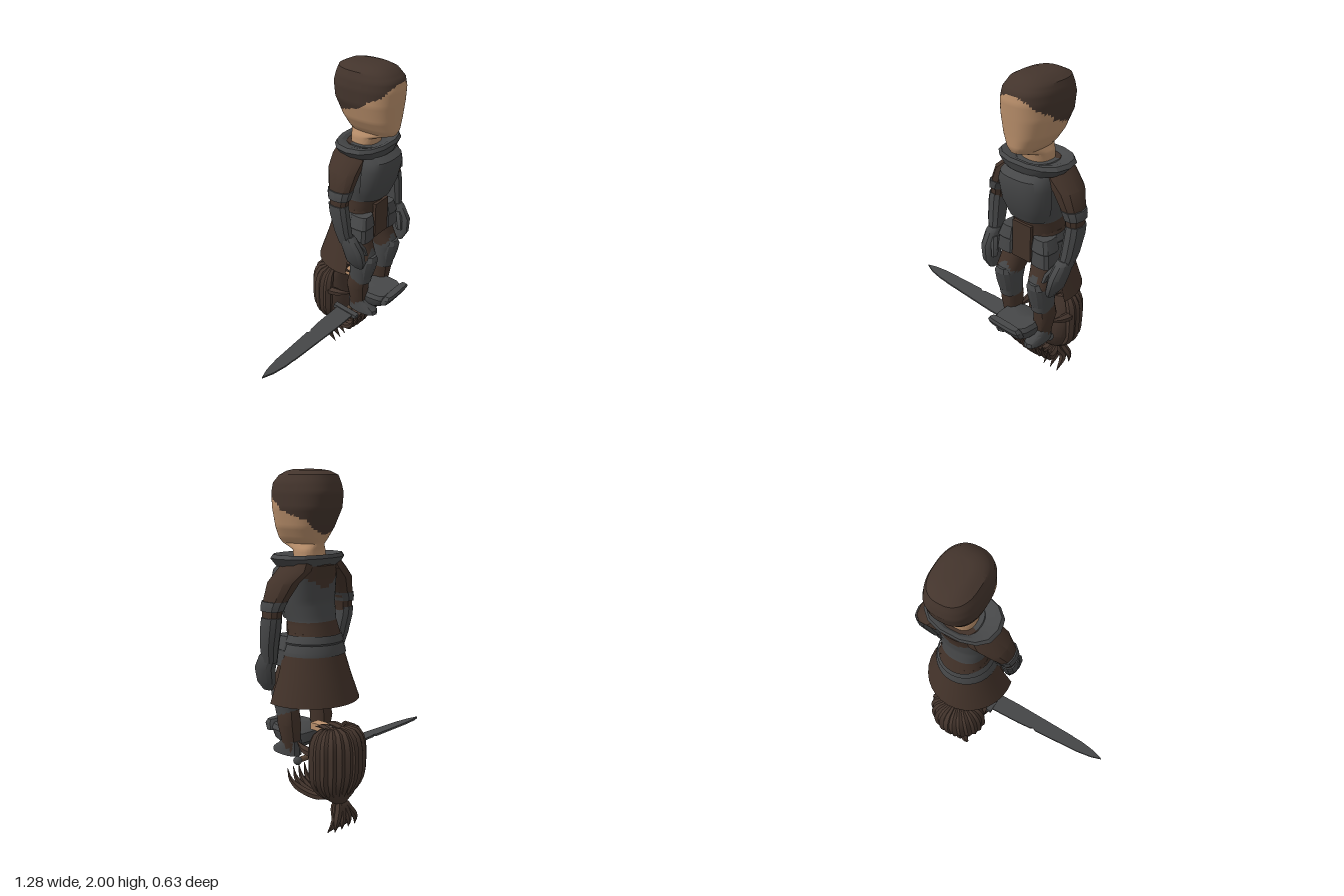
import * as THREE from 'three';
import { toCreasedNormals } from 'three/addons/utils/BufferGeometryUtils.js';

const material = (name, color, side = THREE.FrontSide) => {
  const m = new THREE.MeshStandardMaterial({ color, side });
  m.name = name;
  return m;
};
const steel = material('steel', 0x464748, THREE.DoubleSide);
const leather = material('leather', 0x423229, THREE.DoubleSide);
const hair = material('hair', 0x43342c, THREE.DoubleSide);
const skin = material('skin', 0xb88e6a);
const gripWrap = material('grip wrap', 0x5c4838);

// Surface through horizontal rings [y, centreX, halfWidth, zBack, zFront], lowest first
function loft(name, mats, rings, { n = 16, p = 0.85, t0 = 0, t1 = Math.PI * 2, caps = true, pick = null, crease = 0.6 } = {}) {
  const pos = [], list = Array.isArray(mats) ? mats : [mats], buckets = list.map(() => []);
  const pw = v => Math.sign(v) * Math.abs(v) ** p;
  for (const [y, cx, w, zb, zf] of rings) {
    for (let j = 0; j <= n; j++) {
      const t = t0 + (t1 - t0) * j / n;
      pos.push(cx + w * pw(Math.cos(t)), y, (zb + zf) / 2 + (zf - zb) / 2 * pw(Math.sin(t)));
    }
  }
  const tri = (...v) => {
    const mid = k => v.reduce((s, i) => s + pos[i * 3 + k] / 3, 0);
    buckets[pick ? pick(mid(0), mid(1), mid(2)) : 0].push(...v);
  };
  const row = n + 1, last = (rings.length - 1) * row;
  for (let i = 0; i < rings.length - 1; i++) {
    for (let j = 0; j < n; j++) {
      const a = i * row + j, c = a + row;
      tri(a, c, a + 1);
      tri(a + 1, c, c + 1);
    }
  }
  if (caps) {
    const center = r => pos.push(r[1], r[0], (r[3] + r[4]) / 2) / 3 - 1;
    const lo = center(rings[0]), hi = center(rings[rings.length - 1]);
    for (let j = 0; j < n; j++) {
      tri(lo, j, j + 1);
      tri(hi, last + j + 1, last + j);
    }
  }
  const g = new THREE.BufferGeometry();
  g.setAttribute('position', new THREE.Float32BufferAttribute(pos, 3));
  g.setIndex(buckets.flat());
  let start = 0;
  if (list.length > 1) buckets.forEach((b, i) => { g.addGroup(start, b.length, i); start += b.length; });
  const mesh = new THREE.Mesh(toCreasedNormals(g, crease), mats);
  mesh.name = name;
  return mesh;
}

// Insert evenly spaced rings so a colour border stays crisp
function refine(rings, step) {
  const out = [];
  rings.slice(0, -1).forEach((r, i) => {
    const next = rings[i + 1], k = Math.max(1, Math.ceil(Math.abs(next[0] - r[0]) / step));
    for (let s = 0; s < k; s++) out.push(r.map((v, c) => v + (next[c] - v) * s / k));
  });
  return [...out, rings[rings.length - 1]];
}

// Tapered lock of hair along a curve
function lock(name, points, radius, startTaper = 0.35) {
  const curve = new THREE.CatmullRomCurve3(points.map(p => new THREE.Vector3(...p)));
  const n = 14, g = new THREE.TubeGeometry(curve, n, radius, 6), v = new THREE.Vector3(), at = g.attributes.position;
  for (let i = 0; i <= n; i++) {
    const u = i / n, c = curve.getPointAt(u);
    const k = Math.min(1, startTaper + u * 3) * Math.min(1, 0.05 + (1 - u) * 2.5);
    for (let j = 0; j <= 6; j++) {
      v.fromBufferAttribute(at, i * 7 + j).sub(c).multiplyScalar(k).add(c);
      at.setXYZ(i * 7 + j, v.x, v.y, v.z);
    }
  }
  const mesh = new THREE.Mesh(toCreasedNormals(g, 0.8), hair);
  mesh.name = name;
  return mesh;
}

function box(name, mat, size, at) {
  const m = new THREE.Mesh(new THREE.BoxGeometry(...size), mat);
  m.name = name;
  m.position.set(...at);
  return m;
}

// Height of the cropped hairline for a given depth
const line = [[-1, 0], [-0.1, 1.62], [-0.07, 1.735], [0.09, 1.79], [0.12, 1.82], [0.2, 1.86], [0.25, 1.925], [1, 1.93]];
function hairline(z) {
  const i = line.findIndex(l => l[0] > z), [a, b] = [line[i - 1], line[i]];
  return a[0] === -1 ? 1.62 : a[1] + (b[1] - a[1]) * (z - a[0]) / (b[0] - a[0]);
}

function buildHead() {
  return loft('head', [skin, hair], refine([
    [1.5, 0, 0.085, -0.05, 0.1], [1.58, 0, 0.08, -0.05, 0.12], [1.612, 0, 0.065, -0.06, 0.222], [1.64, 0, 0.09, -0.075, 0.235],
    [1.7, 0, 0.125, -0.105, 0.238], [1.8, 0, 0.152, -0.15, 0.245], [1.88, 0, 0.152, -0.162, 0.25], [1.93, 0, 0.143, -0.15, 0.24],
    [1.97, 0, 0.125, -0.135, 0.2], [1.992, 0, 0.085, -0.09, 0.16], [2, 0, 0.055, -0.03, 0.12]], 0.015),
  { n: 64, p: 0.8, pick: (x, y, z) => (y > hairline(z) ? 1 : 0) });
}

function buildTorso(g) {
  const torso = [[1.08, 0, 0.15, -0.14, 0.12], [1.2, 0, 0.135, -0.1, 0.145], [1.22, 0, 0.138, -0.095, 0.15], [1.3, 0, 0.152, -0.08, 0.18],
    [1.42, 0, 0.165, -0.085, 0.2], [1.5, 0, 0.15, -0.1, 0.18], [1.54, 0, 0.11, -0.08, 0.14]];
  g.add(loft('torso', [steel, leather], refine(torso, 0.02),
    { n: 40, pick: (x, y, z) => (y < 1.2 || (z < 0 && y > 1.37 + Math.abs(x) * 0.6) ? 1 : 0) }));
  g.add(loft('breastplate', steel, [[1.21, 0, 0.125, -0.05, 0.168], [1.25, 0, 0.14, -0.05, 0.185], [1.3, 0, 0.157, -0.05, 0.205],
    [1.42, 0, 0.168, -0.05, 0.23], [1.47, 0, 0.155, -0.05, 0.225], [1.5, 0, 0.14, -0.05, 0.19]],
  { t0: 0.1, t1: Math.PI - 0.1, caps: false, p: 0.75 }));
  g.add(loft('collar', steel, [[1.495, 0, 0.18, -0.095, 0.185], [1.54, 0, 0.222, -0.112, 0.2], [1.56, 0, 0.205, -0.105, 0.19],
    [1.555, 0, 0.17, -0.085, 0.165], [1.53, 0, 0.1, -0.06, 0.12]], { n: 14, caps: false, crease: 0.4 }));
  // Coat tails, belt and hip panels
  g.add(loft('hips', leather, [[0.95, 0, 0.18, -0.1, 0.135], [1.05, 0, 0.165, -0.13, 0.13], [1.14, 0, 0.145, -0.12, 0.13]]));
  const back = { n: 18, t0: Math.PI - 0.2, t1: Math.PI * 2 + 0.2, caps: false, p: 1 };
  g.add(loft('coat tails', leather, [[0.76, 0, 0.265, -0.24, 0.3], [0.9, 0, 0.215, -0.195, 0.25], [1.06, 0, 0.17, -0.148, 0.2]], back));
  g.add(loft('belt', steel, [[1.02, 0, 0.185, -0.166, 0.2], [1.04, 0, 0.183, -0.164, 0.2], [1.08, 0, 0.168, -0.152, 0.19],
    [1.09, 0, 0.172, -0.156, 0.19], [1.13, 0, 0.155, -0.145, 0.18]], { ...back, crease: 0.3 }));
  g.add(box('tabard', leather, [0.13, 0.22, 0.02], [0, 1.07, 0.145]));
  for (const s of [-1, 1]) {
    g.add(loft('hip plate', steel, [[0.96, s * 0.125, 0.068, 0.03, 0.165], [1.04, s * 0.122, 0.063, 0.03, 0.16], [1.05, s * 0.122, 0.066, 0.03, 0.165],
      [1.12, s * 0.112, 0.05, 0.03, 0.15]], { n: 12, p: 0.6, crease: 0.3 }));
  }
}

function buildArm(s) {
  const g = new THREE.Group();
  g.name = s > 0 ? 'left arm' : 'right arm';
  const add = (name, mat, rings, o = {}) => g.add(loft(name, mat, rings.map(([y, x, ...r]) => [y, s * x, ...r]), { n: 10, ...o }));
  add('sleeve', leather, [[1.2, 0.272, 0.043, -0.01, 0.095], [1.27, 0.267, 0.045, -0.02, 0.1], [1.33, 0.245, 0.056, -0.04, 0.11],
    [1.42, 0.2, 0.07, -0.075, 0.12], [1.48, 0.13, 0.075, -0.095, 0.12], [1.53, 0.1, 0.06, -0.08, 0.1]]);
  add('arm band', steel, [[1.275, 0.268, 0.052, -0.028, 0.108], [1.3, 0.262, 0.056, -0.035, 0.112], [1.325, 0.25, 0.06, -0.042, 0.115]], { crease: 0.3 });
  add('forearm guard', steel, [[0.99, 0.255, 0.035, 0.04, 0.13], [1.08, 0.268, 0.045, 0.015, 0.12], [1.19, 0.274, 0.048, -0.015, 0.108], [1.24, 0.274, 0.046, -0.022, 0.1]]);
  add('gauntlet', steel, [[0.82, 0.215, 0.02, 0.12, 0.18], [0.87, 0.235, 0.035, 0.075, 0.205], [0.95, 0.25, 0.042, 0.06, 0.2],
    [1.02, 0.256, 0.04, 0.035, 0.155], [1.04, 0.257, 0.036, 0.035, 0.13]]);
  add('thumb', steel, [[0.9, 0.185, 0.012, 0.15, 0.19], [0.95, 0.197, 0.018, 0.13, 0.18], [1.0, 0.228, 0.02, 0.1, 0.15]], { n: 6 });
  return g;
}

function buildLeg(s) {
  const g = new THREE.Group();
  g.name = s > 0 ? 'left leg' : 'right leg';
  const add = (name, mat, rings, o = {}) => g.add(loft(name, mat, rings.map(([y, x, ...r]) => [y, s * x, ...r]), { n: 12, ...o }));
  add('thigh', [steel, leather], refine([[0.66, 0.12, 0.055, 0.03, 0.165], [0.76, 0.12, 0.066, 0.035, 0.18], [0.83, 0.12, 0.072, 0.02, 0.195],
    [0.9, 0.112, 0.077, -0.03, 0.165], [1.0, 0.1, 0.08, -0.06, 0.13]], 0.02),
  { n: 28, pick: (x, y, z) => (z > 0.05 && y > 0.91 - Math.abs(x * s - 0.11) * 1.2 ? 1 : 0) });
  add('knee plate', steel, [[0.7, 0.12, 0.05, 0.08, 0.175], [0.77, 0.12, 0.062, 0.07, 0.195], [0.83, 0.12, 0.06, 0.08, 0.207], [0.86, 0.118, 0.04, 0.09, 0.2]], { crease: 0.3 });
  add('shin', leather, [[0.45, 0.11, 0.043, 0.03, 0.13], [0.52, 0.115, 0.047, 0.025, 0.14], [0.62, 0.125, 0.06, 0.015, 0.15], [0.7, 0.12, 0.055, 0.03, 0.155]]);
  add('boot', steel, [[0.435, 0.11, 0.05, 0.02, 0.22], [0.46, 0.11, 0.05, 0.02, 0.215], [0.49, 0.11, 0.048, 0.02, 0.17], [0.52, 0.112, 0.047, 0.02, 0.14]]);
  return g;
}

// Loose armour piece resting over the feet
function buildVisor() {
  const g = new THREE.Group();
  g.name = 'visor';
  g.add(loft('visor shell', steel, [[0.465, 0, 0.09, 0.06, 0.2], [0.5, 0, 0.118, 0.02, 0.26], [0.55, 0, 0.125, 0.03, 0.282], [0.575, 0, 0.11, 0.07, 0.27]], { p: 0.6 }));
  g.add(loft('visor lip', steel, [[0.535, 0, 0.122, 0.24, 0.292], [0.57, 0, 0.118, 0.25, 0.312], [0.59, 0, 0.1, 0.265, 0.308]], { p: 0.5 }));
  return g;
}

function buildWig() {
  const g = new THREE.Group();
  g.name = 'long hair';
  g.add(loft('hair core', hair, [[0.19, 0, 0.045, -0.22, -0.13], [0.24, 0, 0.1, -0.25, -0.08], [0.34, 0, 0.145, -0.275, -0.04],
    [0.45, 0, 0.15, -0.285, -0.06], [0.55, 0, 0.14, -0.28, -0.09], [0.6, 0, 0.1, -0.24, -0.1]], { n: 20 }));
  // Locks falling over the back and sides
  for (let i = 0; i <= 12; i++) {
    const t = Math.PI * (0.96 + 1.08 * i / 12), c = Math.cos(t), d = Math.sin(t);
    const at = (w, y, r) => [c * w, y, -0.15 + d * r];
    g.add(lock('back lock', [at(0.06, 0.61, 0.03), at(0.115, 0.605, 0.1), at(0.145, 0.54, 0.135), at(0.15, 0.42, 0.14),
      at(0.14, 0.31, 0.12), at(0.07, 0.22, 0.07), at(0.03, 0.19, 0.04)], 0.03));
  }
  // Locks sweeping forward from the nape, and over the temples
  for (let i = 0; i < 8; i++) {
    const u = -1 + 2 * i / 7, a = Math.abs(u);
    g.add(lock('forward lock', [[u * 0.04, 0.21, -0.15], [u * 0.09, 0.2 + a * 0.02, -0.06], [u * 0.125, 0.235 + a * 0.02, 0.02],
      [u * 0.145, 0.29 + a * 0.01, 0.06], [u * 0.15, 0.36, 0.075]], 0.022));
  }
  for (const s of [-1, 1]) {
    g.add(lock('temple lock', [[s * 0.1, 0.53, -0.25], [s * 0.145, 0.5, -0.15], [s * 0.14, 0.5, -0.06], [s * 0.11, 0.52, 0.04]], 0.026));
    g.add(lock('crown lock', [[s * 0.03, 0.57, -0.25], [s * 0.04, 0.6, -0.18], [s * 0.035, 0.615, -0.1], [s * 0.03, 0.6, -0.03]], 0.02));
  }
  // Tied tail
  for (let i = 0; i < 7; i++) {
    const u = -1 + i / 3, f = i % 2;
    g.add(lock('tail lock', [[u * 0.015, 0.21, -0.19], [u * 0.035, 0.16, f ? -0.17 : -0.21], [u * 0.075, 0.09, f ? -0.2 : -0.23],
      [u * 0.08, f ? 0 : 0.04, f ? -0.14 : -0.225]], 0.023));
  }
  g.add(box('skin patch', skin, [0.06, 0.04, 0.09], [0, 0.595, -0.035]));
  return g;
}

function buildSword() {
  const g = new THREE.Group();
  g.name = 'sword';
  const edge = [[0.16, -0.055], [0.16, 0.035], [-0.06, 0.032], [-0.14, 0.026], [-0.16, 0.016], [-0.18, 0.027], [-0.48, 0.014], [-0.58, 0],
    [-0.64, -0.02], [-0.57, -0.045], [-0.48, -0.06], [-0.395, -0.065], [-0.4, -0.055], [-0.41, -0.066], [0, -0.083], [0.16, -0.083]];
  const blade = new THREE.Mesh(new THREE.ExtrudeGeometry(new THREE.Shape(edge.map(e => new THREE.Vector2(...e))), { depth: 0.012, bevelEnabled: false }), steel);
  blade.geometry.rotateX(-Math.PI / 2);
  blade.name = 'blade';
  blade.position.y = -0.006;
  g.add(blade, box('guard', steel, [0.035, 0.025, 0.17], [0.155, 0, 0.025]));
  const grip = new THREE.Mesh(new THREE.CylinderGeometry(0.017, 0.017, 0.26, 8).rotateZ(Math.PI / 2), gripWrap);
  grip.name = 'grip';
  grip.position.set(0.3, 0, 0.025);
  const pommel = new THREE.Mesh(new THREE.SphereGeometry(0.025, 8, 6), steel);
  pommel.name = 'pommel';
  pommel.position.set(0.44, 0, 0.025);
  g.add(grip, pommel);
  g.position.y = 0.412;
  g.rotation.x = 0.12;
  return g;
}

export function createModel() {
  const model = new THREE.Group(), figure = new THREE.Group();
  model.name = 'armoured figure with loose gear';
  figure.name = 'figure';
  figure.position.x = 0.32;
  figure.add(buildHead());
  buildTorso(figure);
  for (const s of [-1, 1]) figure.add(buildArm(s), buildLeg(s));
  figure.add(buildVisor(), buildWig());
  model.add(figure, buildSword());
  return model;
}
